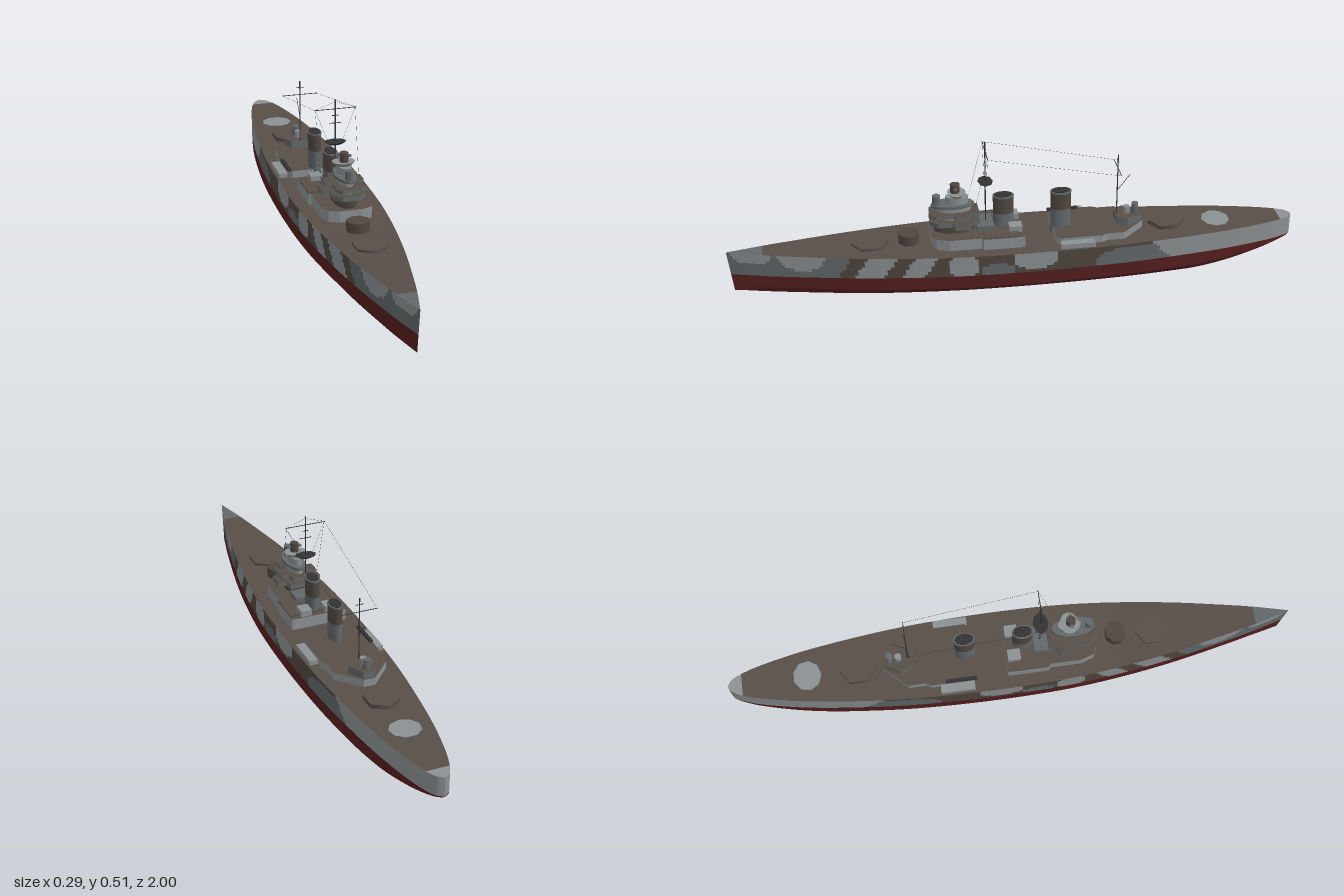
import * as THREE from 'three';

const material = (name, color) => {
  const m = new THREE.MeshStandardMaterial({ color });
  m.name = name;
  return m;
};
const deckBrown = material('deck brown', 0x584e48);
const camoBrown = material('camouflage brown', 0x50473f);
const lightGrey = material('light grey', 0x8b9092);
const midGrey = material('mid grey', 0x62686a);
const hullRed = material('underwater red', 0x571f1f);
const darkMetal = material('dark metal', 0x333333);

const WATER = 0.075;
const deckY = z => 0.149 + (z > 0 ? 0.013 * z * z : 0.004 * z);
const keelY = z => z < -0.6 ? 0.072 * Math.pow((-0.6 - z) / 0.4, 1.6) : z > 0.5 ? 0.01 * (z - 0.5) / 0.5 : 0;

// Camouflage on the hull side: z along the ship, u from waterline (0) to deck (1)
function sidePaint(z, u) {
  const blob = (cz, cu, rz, ru) => ((z - cz) / rz) ** 2 + ((u - cu) / ru) ** 2 < 1;
  const s = z + 0.05 * (u - 0.5);
  if (blob(0.92, 1, 0.07, 0.5) || blob(0.75, 1, 0.08, 0.7)) return lightGrey;
  if (z > 0.63 - 0.05 * u) return midGrey;
  if (s > 0.45 && s < 0.55 || s > 0.31 && s < 0.39) return lightGrey;
  if (blob(0.2, 0.5, 0.055, 0.7) || blob(-0.05, 0.75, 0.08, 0.6)) return lightGrey;
  if (blob(0.08, 0.1, 0.06, 0.5)) return midGrey;
  if (z < -0.53 + 0.07 * u) return lightGrey;
  if (blob(-0.4, 0.2, 0.14, 0.7)) return midGrey;
  return camoBrown;
}

// Hull lofted from cross-sections, with faces sorted by paint
function buildHull() {
  const plan = [[-1, 0], [-0.985, 0.022], [-0.95, 0.04], [-0.88, 0.062], [-0.75, 0.09], [-0.6, 0.112],
    [-0.4, 0.133], [-0.2, 0.143], [0, 0.145], [0.2, 0.139], [0.4, 0.12], [0.6, 0.09], [0.8, 0.05],
    [0.9, 0.027], [1, 0]];
  const stations = new THREE.SplineCurve(plan.map(p => new THREE.Vector2(...p))).getPoints(224);
  const ROWS = 7;
  const section = ({ x: z, y: b }) => {
    const top = deckY(z), keel = keelY(z), rows = [];
    const point = (w, y) => [Math.max(b, 0) * w, y, z > 0 ? z * (0.98 + 0.02 * y / 0.162) : z];
    for (let i = 0; i <= ROWS; i++) rows.push(point(1, top + (WATER - top) * i / ROWS));
    for (const [w, f] of [[0.985, 0.35], [0.8, 0.03], [0, 0]]) rows.push(point(w, keel + (WATER - keel) * f));
    return rows;
  };
  const sections = stations.map(section);
  const faces = new Map();
  const quad = (mat, a, b, c, d) => {
    if (!faces.has(mat)) faces.set(mat, []);
    faces.get(mat).push(...a, ...b, ...c, ...a, ...c, ...d);
  };
  const flip = ([x, y, z]) => [-x, y, z];
  for (let i = 0; i + 1 < sections.length; i++) {
    const p = sections[i], q = sections[i + 1];
    const z = (stations[i].x + stations[i + 1].x) / 2;
    for (let r = 0; r + 1 < p.length; r++) {
      const mat = r < ROWS ? sidePaint(z, 1 - (r + 0.5) / ROWS) : hullRed;
      quad(mat, p[r], q[r], q[r + 1], p[r + 1]);
      quad(mat, flip(p[r + 1]), flip(q[r + 1]), flip(q[r]), flip(p[r]));
    }
    const deckMat = z > 0.88 ? midGrey : z < -0.95 ? lightGrey : deckBrown;
    quad(deckMat, flip(p[0]), flip(q[0]), q[0], p[0]);
  }
  const hull = new THREE.Group();
  hull.name = 'hull';
  for (const [mat, list] of faces) {
    const g = new THREE.BufferGeometry();
    g.setAttribute('position', new THREE.Float32BufferAttribute(list, 3));
    g.computeVertexNormals();
    const m = new THREE.Mesh(g, mat);
    m.name = 'hull ' + mat.name;
    hull.add(m);
  }
  return hull;
}

export function createModel() {
  const root = new THREE.Group();
  root.name = 'warship';
  let parent = root;
  const section = name => {
    parent = new THREE.Group();
    parent.name = name;
    root.add(parent);
  };
  const add = (name, geo, mat) => {
    const m = new THREE.Mesh(geo, mat);
    m.name = name;
    parent.add(m);
    return m;
  };
  // Box given by centre x, z range and y range
  const box = (name, x, w, z0, z1, y0, y1, mat) =>
    add(name, new THREE.BoxGeometry(w, y1 - y0, z1 - z0).translate(x, (y0 + y1) / 2, (z0 + z1) / 2), mat);
  // Elliptical or faceted drum
  const drum = (name, x, z, rx, rz, y0, y1, mat, sides = 16, flare = 1, turn = 0) =>
    add(name, new THREE.CylinderGeometry(1, flare, y1 - y0, sides).rotateY(turn).scale(rx, 1, rz)
      .translate(x, (y0 + y1) / 2, z), mat);
  // Deckhouse from its half plan, mirrored across the centreline
  const house = (name, half, y0, y1, wall, roof = deckBrown) => {
    const pts = [...half, ...half.slice().reverse().map(([x, z]) => [-x, z])];
    const shape = new THREE.Shape(pts.map(([x, z]) => new THREE.Vector2(x, -z)));
    const g = new THREE.ExtrudeGeometry(shape, { depth: y1 - y0, bevelEnabled: false });
    return add(name, g.rotateX(-Math.PI / 2).translate(0, y0, 0), [roof, wall]);
  };
  const rod = (name, a, b, r, mat = darkMetal, sides = 6) => {
    const line = new THREE.LineCurve3(new THREE.Vector3(...a), new THREE.Vector3(...b));
    return add(name, new THREE.TubeGeometry(line, 1, r, sides), mat);
  };

  root.add(buildHull());

  section('deck fittings');
  drum('stern deck patch', 0, -0.72, 0.055, 0.05, 0.1465, 0.1485, lightGrey, 9);
  for (const z of [0.51, -0.54]) drum('gun base', 0, z, 0.06, 0.065, 0.14, 0.161, deckBrown, 6);
  drum('raised gun base', 0, 0.375, 0.04, 0.037, 0.145, 0.186, camoBrown, 8, 1, Math.PI / 8);

  section('forward deckhouse');
  house('forward house', [[0.04, 0.3], [0.075, 0.285], [0.09, 0.24], [0.09, 0.13], [0.1, 0.125],
    [0.1, -0.02], [0.03, -0.02]], 0.145, 0.19, lightGrey);
  box('boat deck', 0, 0.2, 0.0, 0.12, 0.19, 0.195, deckBrown);
  box('funnel house', 0, 0.09, 0.08, 0.14, 0.19, 0.212, midGrey);
  for (const s of [1, -1]) box('locker', s * 0.045, 0.04, -0.015, 0.03, 0.19, 0.212, lightGrey);

  section('aft deckhouse');
  house('aft house', [[0.09, -0.13], [0.105, -0.15], [0.105, -0.29], [0.095, -0.31], [0.095, -0.37],
    [0.02, -0.45]], 0.14, 0.174, lightGrey);
  house('aft control house', [[0.035, -0.355], [0.05, -0.39], [0.02, -0.445]], 0.17, 0.2, midGrey);
  drum('aft director', 0, -0.395, 0.012, 0.012, 0.2, 0.225, lightGrey, 10);
  drum('aft rangefinder', 0, -0.425, 0.014, 0.012, 0.2, 0.235, midGrey, 10);
  box('rangefinder arms', 0, 0.04, -0.43, -0.42, 0.222, 0.228, midGrey);
  for (const s of [1, -1]) box('side platform', s * 0.12, 0.03, -0.26, -0.14, 0.145, 0.165, lightGrey);
  box('stowed crane', -0.1, 0.012, -0.24, -0.13, 0.174, 0.182, darkMetal);

  section('bridge');
  drum('bridge base', 0, 0.215, 0.042, 0.075, 0.17, 0.222, camoBrown, 8, 1, Math.PI / 8);
  house('lower bridge wings', [[0.03, 0.3], [0.055, 0.275], [0.055, 0.225], [0.08, 0.22], [0.08, 0.165],
    [0.05, 0.16], [0.045, 0.13]], 0.222, 0.238, midGrey);
  drum('lower bridge', 0, 0.215, 0.034, 0.065, 0.238, 0.25, lightGrey, 12);
  house('upper bridge wings', [[0.03, 0.3], [0.045, 0.28], [0.045, 0.22], [0.068, 0.215], [0.068, 0.17],
    [0.04, 0.165], [0.035, 0.13]], 0.25, 0.262, midGrey);
  drum('upper bridge', 0, 0.215, 0.027, 0.06, 0.262, 0.28, lightGrey, 12);
  drum('compass platform', 0, 0.22, 0.036, 0.075, 0.28, 0.29, midGrey, 12);
  drum('bridge tower', 0, 0.205, 0.023, 0.04, 0.29, 0.316, lightGrey, 12);
  drum('forward director', 0, 0.275, 0.014, 0.014, 0.29, 0.322, midGrey, 10);
  drum('tower top', 0, 0.205, 0.04, 0.032, 0.316, 0.33, lightGrey, 12, 0.65);
  drum('main director', 0, 0.21, 0.015, 0.017, 0.33, 0.362, camoBrown, 10);
  box('director arms', 0, 0.05, 0.205, 0.215, 0.345, 0.352, midGrey);

  section('funnels');
  for (const z of [0.043, -0.16]) {
    drum('funnel base', 0, z, 0.023, 0.036, 0.145, 0.24, midGrey, 24);
    drum('funnel upper', 0, z, 0.023, 0.036, 0.24, 0.3, camoBrown, 24);
    drum('funnel cap', 0, z, 0.0245, 0.0375, 0.3, 0.306, midGrey, 24);
    drum('funnel mouth', 0, z, 0.02, 0.032, 0.306, 0.309, darkMetal, 24);
  }

  section('masts');
  const mast = (name, z, y0, y1, yards) => {
    rod(name, [0, y0, z], [0, y1, z], 0.002);
    for (const [y, half] of yards) rod(name + ' yard', [-half, y, z], [half, y, z], 0.0013);
  };
  mast('foremast', 0.105, 0.2, 0.514, [[0.48, 0.074], [0.457, 0.011], [0.43, 0.022]]);
  mast('mainmast', -0.36, 0.17, 0.43, [[0.378, 0.065], [0.405, 0.015]]);
  drum('foremast lookout', 0, 0.105, 0.04, 0.027, 0.355, 0.364, darkMetal, 8, 0.6);
  rod('gaff', [0, 0.29, -0.36], [0, 0.35, -0.405], 0.001);

  // Aerials and halyards
  section('rigging');
  for (const s of [1, -1]) {
    const wire = (a, b) => rod('wire', a, b, 0.0004, darkMetal, 3);
    wire([s * 0.072, 0.48, 0.105], [s * 0.063, 0.378, -0.36]);
    wire([0, 0.505, 0.105], [s * 0.074, 0.48, 0.105]);
    wire([s * 0.07, 0.48, 0.105], [s * 0.025, 0.364, 0.105]);
    wire([s * 0.07, 0.48, 0.105], [s * 0.066, 0.238, 0.165]);
  }
  return root;
}
